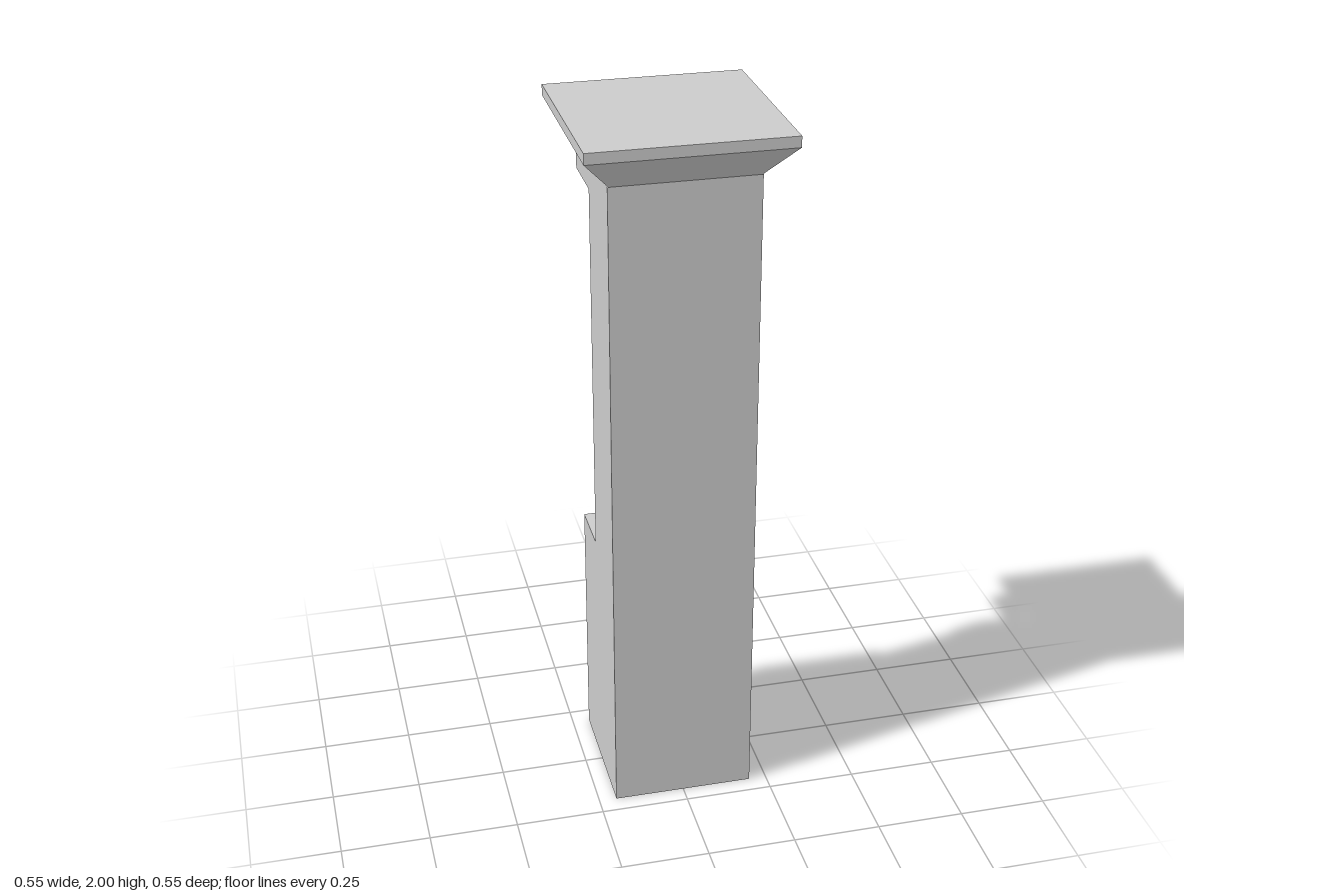
import * as THREE from 'three';

const stone = new THREE.MeshStandardMaterial({ color: 0xcccccc, side: THREE.DoubleSide });
stone.name = 'pale grey stone';

const HALF = 0.2;          // half width of the shaft
const WALL_Z = -0.036;     // rear wall of the niche
const SILL = 0.73, LINTEL = 1.79, NECK = 1.88, RIM = 1.97, TOP = 2;

function add(parent, name, geometry) {
  const mesh = new THREE.Mesh(geometry, stone);
  mesh.name = name;
  parent.add(mesh);
  return mesh;
}

// Full-width panel between two points [z, y] of the shaft's side profile
function panel(parent, name, [z0, y0], [z1, y1]) {
  const length = Math.hypot(z1 - z0, y1 - y0);
  const mesh = add(parent, name, new THREE.PlaneGeometry(HALF * 2, length));
  mesh.position.set(0, (y0 + y1) / 2, (z0 + z1) / 2);
  mesh.rotation.x = Math.atan2(z1 - z0, y1 - y0);
}

// Hollow shaft, open underneath, with a niche cut through its full width
function createShaft() {
  const shaft = new THREE.Group();
  shaft.name = 'shaft';
  const profile = [
    [HALF, 0], [HALF, NECK], [-HALF, NECK], [-HALF, LINTEL],
    [WALL_Z, LINTEL], [WALL_Z, SILL], [-HALF, SILL], [-HALF, 0],
  ];
  const shape = new THREE.Shape(profile.map(([z, y]) => new THREE.Vector2(z, y)));
  for (const side of [-1, 1]) {
    const wall = add(shaft, side > 0 ? 'leftWall' : 'rightWall',
      new THREE.ShapeGeometry(shape).rotateY(-Math.PI / 2));
    wall.position.x = side * HALF;
  }
  panel(shaft, 'frontWall', profile[0], profile[1]);
  panel(shaft, 'lintel', profile[2], profile[3]);
  panel(shaft, 'nicheWall', profile[4], profile[5]);
  panel(shaft, 'nicheFloor', profile[5], profile[6]);
  panel(shaft, 'pedestalBack', profile[6], profile[7]);
  return shaft;
}

// Four-sided open frustum with flat faces
function frustum(parent, name, bottom, top, y0, y1) {
  const g = new THREE.CylinderGeometry(top * Math.SQRT2, bottom * Math.SQRT2, y1 - y0, 4, 1, true)
    .rotateY(Math.PI / 4).toNonIndexed();
  g.computeVertexNormals();
  add(parent, name, g).position.y = (y0 + y1) / 2;
}

function createCapital() {
  const capital = new THREE.Group();
  capital.name = 'capital';
  const rim = 0.277;
  frustum(capital, 'flare', HALF, rim, NECK, RIM);
  frustum(capital, 'rim', rim, rim, RIM, TOP);
  const slab = add(capital, 'topSlab', new THREE.PlaneGeometry(rim * 2, rim * 2).rotateX(-Math.PI / 2));
  slab.position.y = TOP;
  capital.scale.x = 0.985;
  return capital;
}

// Robed figure in relief: half sections lofted against the niche wall
function createFigure() {
  // height, half width, front z, roundness (small is boxy, 1 is elliptical)
  const sections = [
    [0.73, 0.110, -0.126, 0.35],
    [0.90, 0.092, -0.127, 0.5],
    [1.09, 0.079, -0.127, 0.7],
    [1.24, 0.081, -0.126, 0.8],
    [1.38, 0.122, -0.126, 0.9],
    [1.43, 0.142, -0.138, 0.9],
    [1.48, 0.154, -0.137, 0.9],
    [1.55, 0.148, -0.115, 0.9],
    [1.60, 0.128, -0.090, 0.9],
    [1.625, 0.045, -0.074, 0.9],
    [1.65, 0.036, -0.068, 1],
    [1.68, 0.046, -0.073, 1],
    [1.71, 0.050, -0.077, 1],
    [1.745, 0.038, -0.057, 1],
    [1.775, 0.015, -0.038, 1],
  ];
  const steps = 12, points = [], index = [];
  sections.forEach(([y, w, front, round], row) => {
    for (let i = 0; i <= steps; i++) {
      const a = (i / steps) * Math.PI;
      const c = Math.cos(a), s = Math.max(0, Math.sin(a));
      points.push(
        w * Math.sign(c) * Math.pow(Math.abs(c), round), y,
        WALL_Z + (front - WALL_Z) * (i === steps ? 0 : Math.pow(s, round)));
      if (row && i) {
        const d = row * (steps + 1) + i, b = d - steps - 1;
        index.push(b - 1, b, d - 1, b, d, d - 1);
      }
    }
  });
  const g = new THREE.BufferGeometry();
  g.setAttribute('position', new THREE.Float32BufferAttribute(points, 3));
  g.setIndex(index);
  g.computeVertexNormals();
  return g;
}

export function createModel() {
  const model = new THREE.Group();
  model.name = 'pillarWithNicheFigure';
  model.add(createShaft(), createCapital());
  add(model, 'robedFigure', createFigure());
  return model;
}
